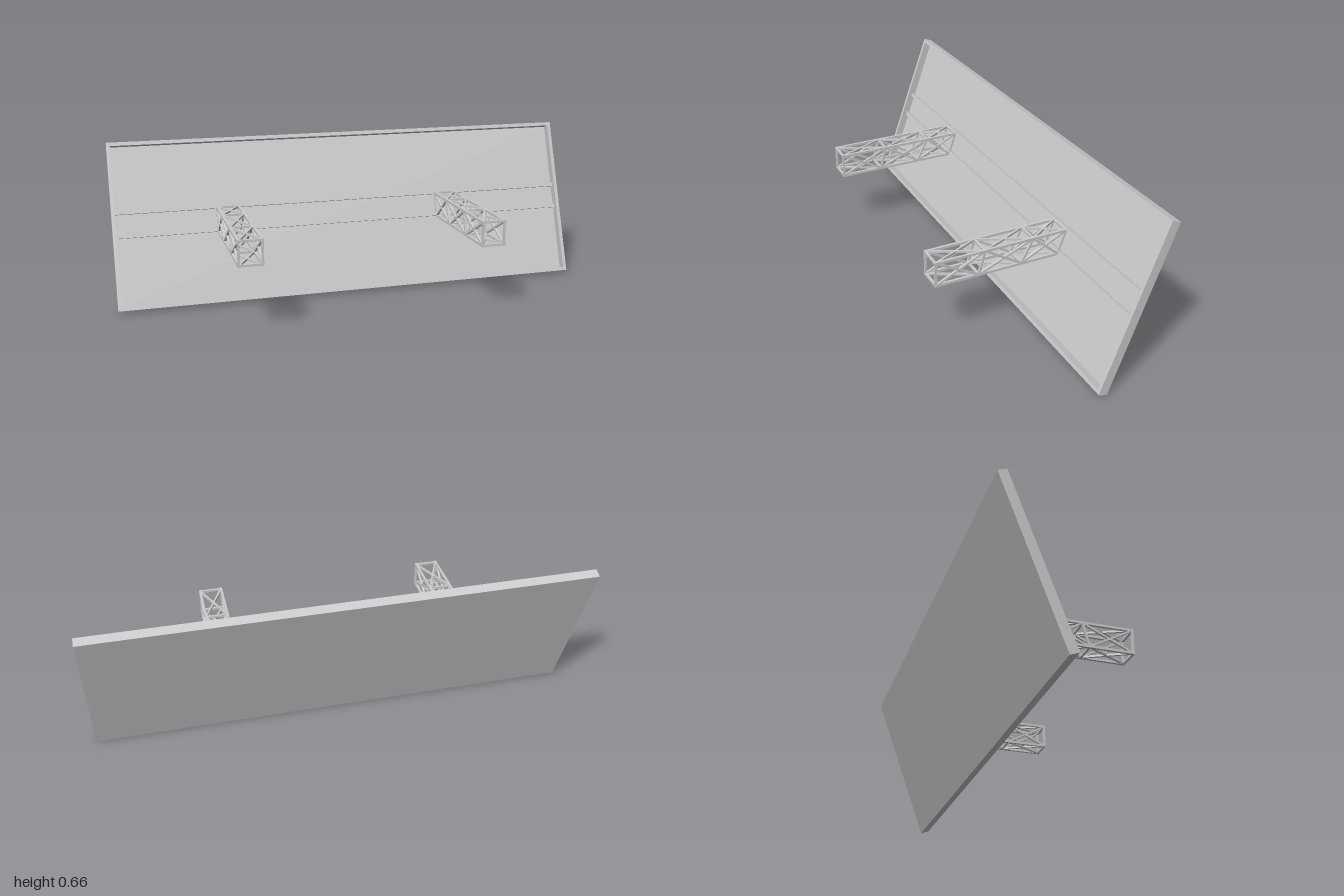
import * as THREE from 'three';

const material = new THREE.MeshStandardMaterial({ color: 0xcccccc, flatShading: true });

function box(name, w, h, d, x, y, z) {
  const mesh = new THREE.Mesh(new THREE.BoxGeometry(w, h, d), material);
  mesh.name = name;
  mesh.position.set(x, y, z);
  return mesh;
}

// Square bar running between two points
function strut(name, a, b, size) {
  const from = new THREE.Vector3(...a), to = new THREE.Vector3(...b);
  const mesh = new THREE.Mesh(new THREE.BoxGeometry(size, size, from.distanceTo(to)), material);
  mesh.name = name;
  mesh.position.copy(from).add(to).multiplyScalar(0.5);
  mesh.lookAt(to);
  return mesh;
}

// Tilted board: thin back sheet, raised rim and two inner rails
function createPanel() {
  const panel = new THREE.Group();
  panel.name = 'panel';
  const W = 2, H = 0.69, D = 0.037, rim = 0.015, sheet = 0.004;
  panel.add(box('backSheet', W - 2 * rim, H - 2 * rim, sheet, 0, 0, -D / 2 + sheet / 2));
  for (const s of [-1, 1]) {
    panel.add(box(s > 0 ? 'topRim' : 'bottomRim', W, rim, D, 0, s * (H - rim) / 2, 0));
    panel.add(box(s > 0 ? 'leftRim' : 'rightRim', rim, H - 2 * rim, D, s * (W - rim) / 2, 0, 0));
  }
  for (const y of [0.056, -0.042]) {
    panel.add(box('mountingRail', W - 2 * rim, 0.015, 0.015, 0, y, -0.007));
  }
  panel.rotation.x = -THREE.MathUtils.degToRad(19.9);
  panel.position.set(0, 0.331, -0.2);
  return panel;
}

// Lattice arm: four chords, cross frames at the nodes, X bracing on each face
function createArm(x) {
  const arm = new THREE.Group();
  arm.name = 'latticeArm';
  const half = 0.045, top = 0.38, bottom = 0.285, chord = 0.01, brace = 0.008;
  const topZ = [0.33, 0.13, -0.073, -0.216];
  const bottomZ = [0.33, 0.155, -0.025, -0.183];
  const last = topZ.length - 1;
  const add = (name, a, b, size) => arm.add(strut(name, a, b, size));

  for (const s of [-1, 1]) {
    const sx = s * half;
    add('topChord', [sx, top, topZ[0] + chord / 2], [sx, top, topZ[last]], chord);
    add('bottomChord', [sx, bottom, bottomZ[0] + chord / 2], [sx, bottom, bottomZ[last]], chord);
    for (let i = 0; i <= last; i++) {
      add('post', [sx, bottom, bottomZ[i]], [sx, top, topZ[i]], chord * 0.9);
      if (i === last) continue;
      add('sideBrace', [sx, bottom, bottomZ[i]], [sx, top, topZ[i + 1]], brace);
      add('sideBrace', [sx, top, topZ[i]], [sx, bottom, bottomZ[i + 1]], brace);
    }
  }
  for (const [y, zs] of [[top, topZ], [bottom, bottomZ]]) {
    for (let i = 0; i <= last; i++) {
      add('crossBar', [-half, y, zs[i]], [half, y, zs[i]], chord * 0.9);
      if (i === last) continue;
      for (const s of [-1, 1]) {
        add('faceBrace', [-s * half, y, zs[i]], [s * half, y, zs[i + 1]], brace);
      }
    }
  }
  arm.position.x = x;
  return arm;
}

export function createModel() {
  const model = new THREE.Group();
  model.name = 'panelOnLatticeArms';
  model.add(createPanel());
  for (const x of [-0.523, 0.45]) model.add(createArm(x));
  return model;
}
